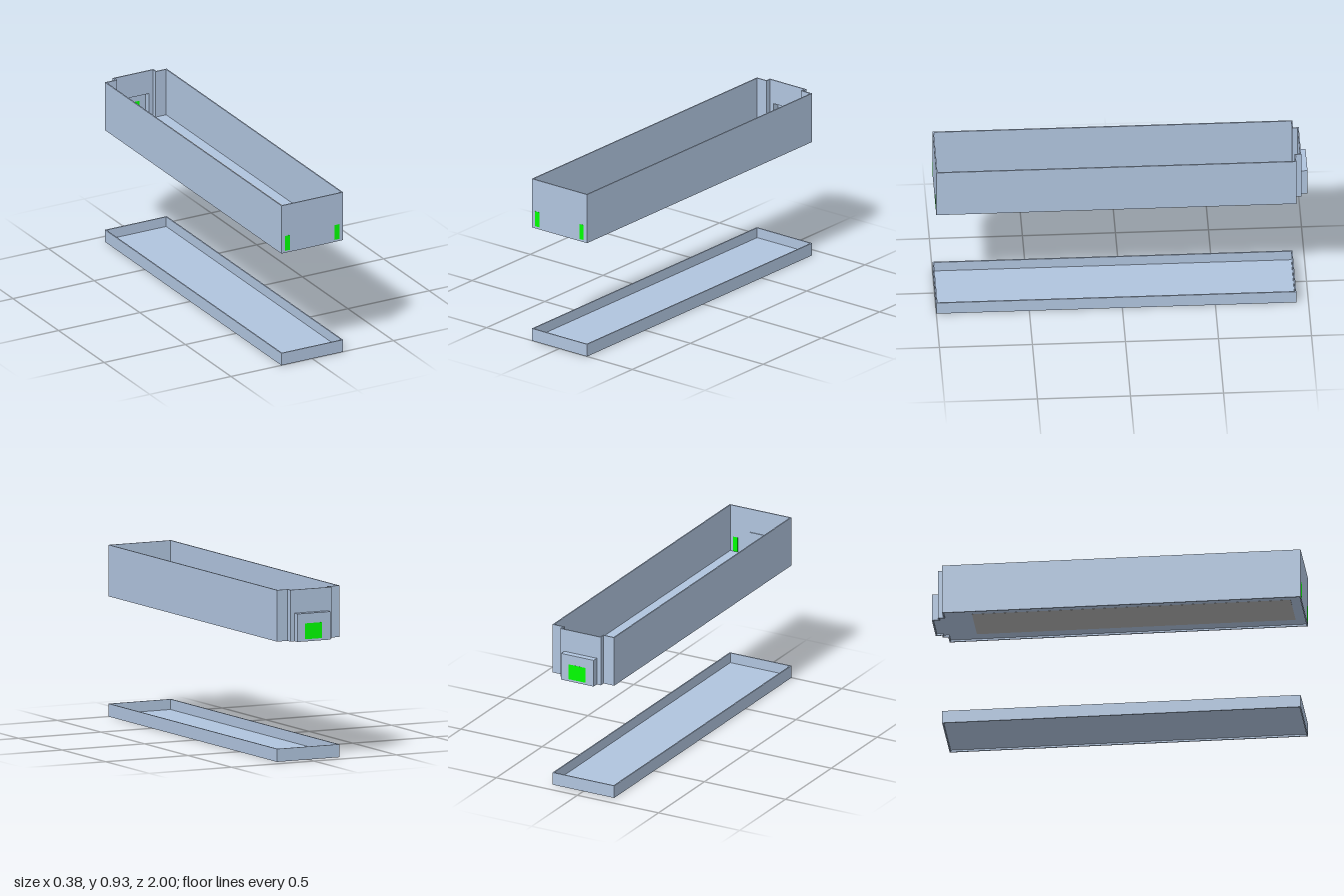
import * as THREE from 'three';

const T = 0.007; // wall thickness
const BOTTOM = 0.652, TOP = 0.931, RECESS = 0.01;
const PROUD = 0.0005; // how far inlaid parts stand out

const blue = new THREE.MeshStandardMaterial({ color: 0xb0c4de, flatShading: true });
const green = new THREE.MeshStandardMaterial({ color: 0x00ff00, flatShading: true });
const padGrey = new THREE.MeshStandardMaterial({ color: 0xb0b0b0, flatShading: true });

// Box given by its low and high limits on each axis
function box(parent, name, [x0, x1], [y0, y1], [z0, z1], material = blue) {
  const mesh = new THREE.Mesh(new THREE.BoxGeometry(x1 - x0, y1 - y0, z1 - z0), material);
  mesh.position.set((x0 + x1) / 2, (y0 + y1) / 2, (z0 + z1) / 2);
  mesh.name = name;
  parent.add(mesh);
}

// Adds the mirrored half to a run of [x, z] points
const mirror = half => [...half, ...half.map(([x, z]) => [-x, z]).reverse()];

// Upright prism over an outline of [x, z] points; the hole winds the other way
function prism(parent, name, outline, y0, y1, hole) {
  const toPoints = list => list.map(([x, z]) => new THREE.Vector2(x, -z));
  const shape = new THREE.Shape(toPoints(outline));
  if (hole) shape.holes.push(new THREE.Path(toPoints(hole).reverse()));
  const geometry = new THREE.ExtrudeGeometry(shape, { depth: y1 - y0, bevelEnabled: false });
  geometry.rotateX(-Math.PI / 2);
  geometry.translate(0, y0, 0);
  const mesh = new THREE.Mesh(geometry, blue);
  mesh.name = name;
  parent.add(mesh);
}

function createTray() {
  const tray = new THREE.Group();
  tray.name = 'lowerTray';
  const rect = d => mirror([[0.19 - d, -0.935 + d], [0.19 - d, 1 - d]]);
  prism(tray, 'trayWalls', rect(0), 0, 0.07, rect(T));
  prism(tray, 'trayFloor', rect(T), RECESS, RECESS + 0.004);
  return tray;
}

function createHousing() {
  const housing = new THREE.Group();
  housing.name = 'upperHousing';

  // Sides, front and stepped rear shoulders, open at the rear panel
  const outer = [[0.125, -0.965], [0.125, -0.935], [0.19, -0.935], [0.19, 1]];
  const inner = [[0.125 - T, -0.965], [0.125 - T, -0.935 + T], [0.19 - T, -0.935 + T], [0.19 - T, 1 - T]];
  const flip = list => list.map(([x, z]) => [-x, z]);
  prism(housing, 'housingWalls',
    [...mirror(outer), ...flip(inner), ...[...inner].reverse()], BOTTOM, TOP);

  // Rear panel around the port opening
  const portTop = 0.804, zBack = [-0.965, -0.965 + T];
  box(housing, 'rearPanelTop', [-0.125 + T, 0.125 - T], [portTop, TOP], zBack);
  for (const s of [-1, 1]) {
    const xs = [s * 0.1, s * (0.125 - T)].sort((a, b) => a - b);
    box(housing, 'rearPanelSide', xs, [BOTTOM, portTop], zBack);
  }

  // Hollow port box at the rear
  const port = new THREE.Group();
  port.name = 'rearPort';
  housing.add(port);
  box(port, 'portBack', [-0.1, 0.1], [BOTTOM, portTop], [-1, -1 + T]);
  box(port, 'portTop', [-0.1, 0.1], [portTop - T, portTop], [-1 + T, -0.965 + T]);
  for (const x of [-0.1, 0.1 - T])
    box(port, 'portSide', [x, x + T], [BOTTOM, portTop - T], [-1 + T, -0.965 + T]);
  box(port, 'portWindow', [-0.05, 0.055], [0.664, 0.75], [-1 - PROUD, -1 + T + PROUD], green);

  // Recessed floor with an inlaid pad
  const floorHalf = [[0.1 - T, -1 + T], [0.1 - T, -0.965 + T], [0.125 - T, -0.965 + T],
    [0.125 - T, -0.935 + T], [0.19 - T, -0.935 + T], [0.19 - T, 1 - T]];
  const floorY = BOTTOM + RECESS, floorTop = floorY + 0.004;
  prism(housing, 'housingFloor', mirror(floorHalf), floorY, floorTop);
  box(housing, 'floorPad', [-0.133, 0.122], [floorY - PROUD, floorTop + PROUD], [-0.78, 0.94], padGrey);

  // Front windows and the plate inside the front wall
  for (const s of [-1, 1])
    box(housing, 'frontWindow', [s * 0.152 - 0.015, s * 0.152 + 0.015], [0.664, 0.75],
      [1 - T - PROUD, 1 + PROUD], green);
  box(housing, 'innerFrontPlate', [-0.06, 0.06], [floorY, 0.797], [0.988, 0.995]);
  return housing;
}

export function createModel() {
  const model = new THREE.Group();
  model.name = 'trayAndHousing';
  model.add(createTray(), createHousing());
  return model;
}
